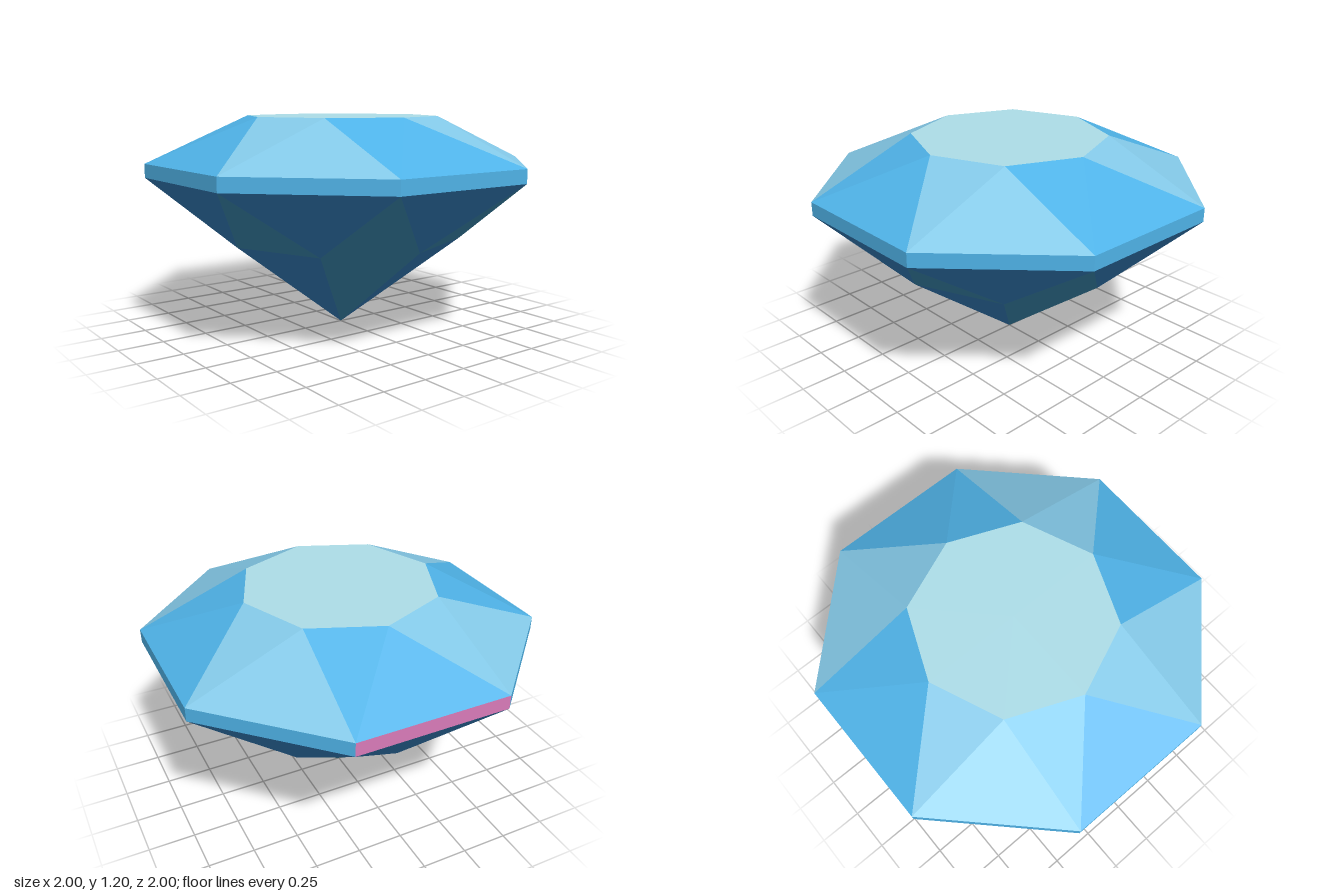
import * as THREE from 'three';

const SIDES = 8;
const STEP = (Math.PI * 2) / SIDES;

// A point on a ring; turn counts in eighths of a circle from +x towards +z
const ringPoint = (radius, y, turn) => [
  radius * Math.cos(turn * STEP), y, radius * Math.sin(turn * STEP),
];

const material = (name, color) => {
  const m = new THREE.MeshStandardMaterial({ color });
  m.name = name;
  return m;
};

// Flat facets from a list of corner triples
function facets(name, triangles, mat) {
  const geometry = new THREE.BufferGeometry();
  geometry.setAttribute('position', new THREE.Float32BufferAttribute(triangles.flat(2), 3));
  geometry.computeVertexNormals();
  const mesh = new THREE.Mesh(geometry, mat);
  mesh.name = name;
  return mesh;
}

export function createModel() {
  const sky = material('sky blue', 0x4fb3e8);
  const pale = material('pale blue', 0x84c9e8);
  const ice = material('ice blue', 0xacdde8);
  const navy = material('deep blue', 0x3178b4);
  const teal = material('teal blue', 0x3885aa);
  const pink = material('pink', 0xd87ab8);

  const outer = 1 / Math.cos(STEP / 2);
  const table = (k) => ringPoint(0.54, 1.195, k);
  const girdleTop = (k) => ringPoint(outer, 0.945, k - 0.5);
  const girdleBottom = (k) => ringPoint(outer, 0.87, k - 0.5);
  const waist = (k) => ringPoint(0.675, 0.515, k);
  const tip = [0, 0, 0];
  const centre = [0, 1.195, 0];

  const tableTop = [], crown = [[], []], girdle = [], accent = [];
  const upperBlue = [], upperTeal = [], lower = [[], []];

  for (let k = 0; k < SIDES; k++) {
    const n = k + 1;
    tableTop.push([centre, table(n), table(k)]);

    // Crown: pairs of triangles alternate between two blues
    crown[k % 2].push(
      [girdleTop(n), girdleTop(k), table(k)],
      [girdleTop(n), table(k), table(n)],
    );

    // Girdle band: the back face carries the accent colour
    (k === 6 ? accent : girdle).push(
      [girdleBottom(n), girdleBottom(k), girdleTop(k)],
      [girdleBottom(n), girdleTop(k), girdleTop(n)],
    );

    // Pavilion: a zigzag row above alternating facets that meet at the tip
    upperBlue.push([girdleBottom(k), girdleBottom(n), waist(k)]);
    upperTeal.push([girdleBottom(n), waist(n), waist(k)]);
    lower[k % 2].push([waist(k), waist(n), tip]);
  }

  const gem = new THREE.Group();
  gem.name = 'gem';
  gem.add(
    facets('table', tableTop, ice),
    facets('crownMainFacets', crown[0], sky),
    facets('crownDiagonalFacets', crown[1], pale),
    facets('girdle', girdle, sky),
    facets('girdleAccent', accent, pink),
    facets('upperPavilionBlue', upperBlue, navy),
    facets('upperPavilionTeal', upperTeal, teal),
    facets('lowerPavilionTeal', lower[0], teal),
    facets('lowerPavilionBlue', lower[1], navy),
  );
  return gem;
}
